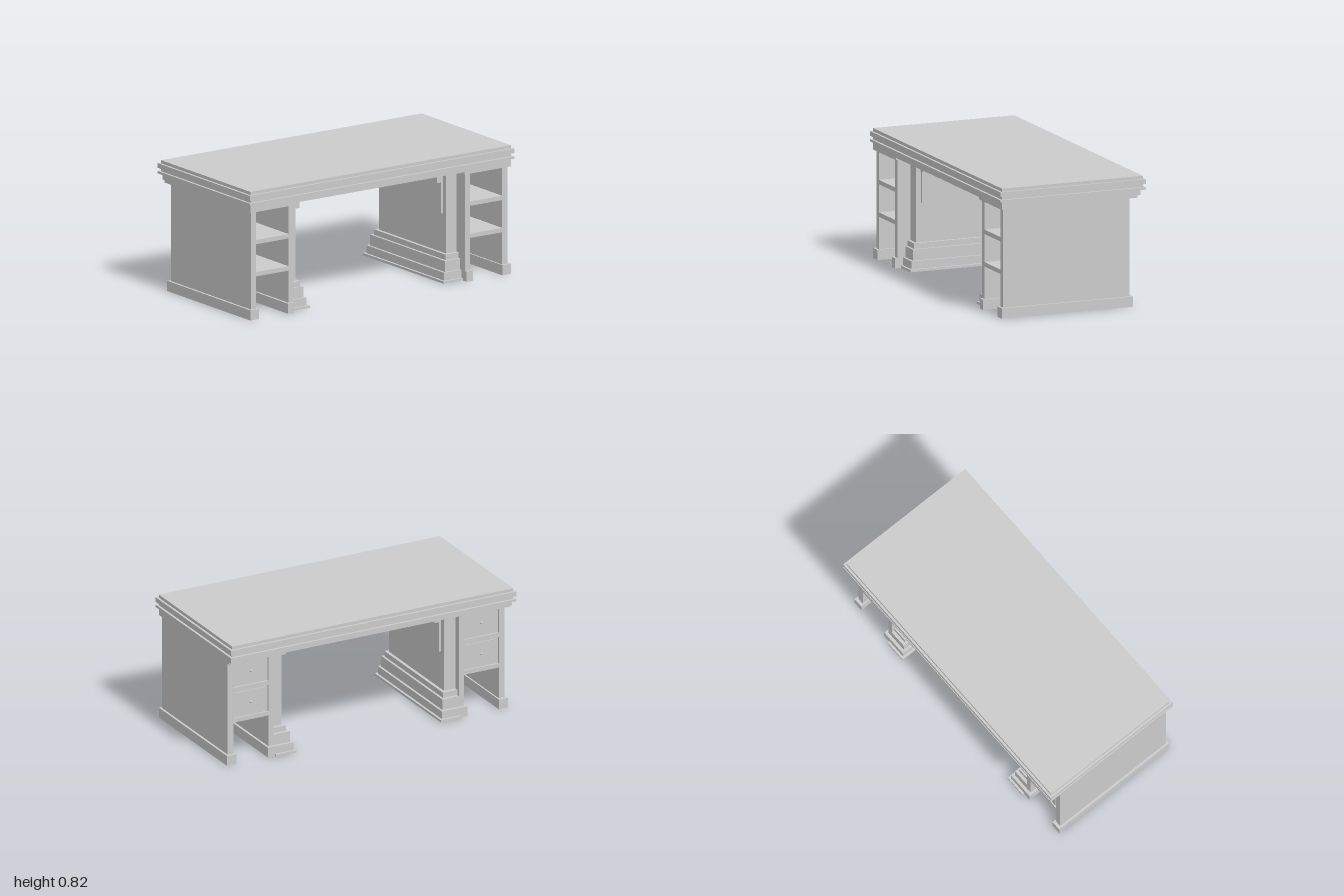
import * as THREE from 'three';

const material = new THREE.MeshStandardMaterial({ color: 0xcccccc });

// Box given by its extents on each axis
function box(parent, name, [x0, x1], [y0, y1], [z0, z1]) {
  const mesh = new THREE.Mesh(new THREE.BoxGeometry(x1 - x0, y1 - y0, Math.abs(z1 - z0)), material);
  mesh.position.set((x0 + x1) / 2, (y0 + y1) / 2, (z0 + z1) / 2);
  mesh.name = name;
  parent.add(mesh);
  return mesh;
}

// One pedestal; side is +1 or -1 along z
function pedestal(side) {
  const group = new THREE.Group();
  group.name = side > 0 ? 'frontPedestal' : 'backPedestal';
  const add = (name, x, y, z) => box(group, name, x, y, z.map((v) => v * side));

  // Side walls with feet, and the cap under the top
  add('outerWall', [-0.39, 0.46], [0.065, 0.685], [0.93, 0.97]);
  add('outerFoot', [-0.41, 0.475], [0, 0.065], [0.92, 0.985]);
  add('innerWall', [-0.39, 0.46], [0.065, 0.685], [0.65, 0.685]);
  add('innerFoot', [-0.41, 0.475], [0, 0.065], [0.65, 0.70]);
  add('pedestalCap', [-0.44, 0.475], [0.685, 0.70], [0.635, 0.985]);

  // Shelves, open towards +x
  for (const y of [0.27, 0.475]) add('shelf', [-0.39, 0.46], [y, y + 0.028], [0.685, 0.93]);

  // Drawer fronts with knobs on the -x side
  for (const [y0, y1] of [[0.298, 0.475], [0.503, 0.685]]) {
    add('drawerFront', [-0.38, -0.35], [y0, y1], [0.685, 0.93]);
    add('drawerPanel', [-0.385, -0.38], [y0 + 0.012, y1 - 0.012], [0.697, 0.918]);
    const knob = new THREE.Mesh(new THREE.SphereGeometry(0.009, 16, 12), material);
    knob.name = 'drawerKnob';
    knob.position.set(-0.39, (y0 + y1) / 2, 0.8075 * side);
    group.add(knob);
  }

  // Stepped plinth on the knee-space side
  const steps = [
    [0, 0.015, 0.505, 0.08, 0.065],
    [0.015, 0.065, 0.52, 0.065, 0.05],
    [0.065, 0.135, 0.535, 0.045, 0.035],
    [0.135, 0.17, 0.55, 0.025, 0.02],
  ];
  for (const [y0, y1, z, left, right] of steps)
    add('plinthStep', [-0.345 - left, 0.37 + right], [y0, y1], [z, 0.65]);

  // Inner block with raised upper panel and cornice
  add('innerBlock', [-0.345, 0.37], [0.17, 0.70], [0.57, 0.65]);
  add('raisedPanel', [-0.31, 0.335], [0.42, 0.70], [0.555, 0.57]);
  add('cornice', [-0.315, 0.345], [0.62, 0.70], [0.52, 0.555]);
  return group;
}

export function createModel() {
  const desk = new THREE.Group();
  desk.name = 'desk';

  // Layered top: x min, x max, y min, y max, half length in z
  const top = new THREE.Group();
  top.name = 'deskTop';
  const layers = [
    ['apron', -0.46, 0.475, 0.70, 0.735, 0.985],
    ['lowerMoulding', -0.49, 0.49, 0.735, 0.75, 1],
    ['mouldingGroove', -0.475, 0.475, 0.75, 0.77, 0.985],
    ['upperMoulding', -0.49, 0.49, 0.77, 0.80, 1],
    ['writingSurface', -0.475, 0.475, 0.80, 0.82, 0.985],
  ];
  for (const [name, x0, x1, y0, y1, z] of layers) box(top, name, [x0, x1], [y0, y1], [-z, z]);
  desk.add(top);

  desk.add(pedestal(1), pedestal(-1));
  return desk;
}
